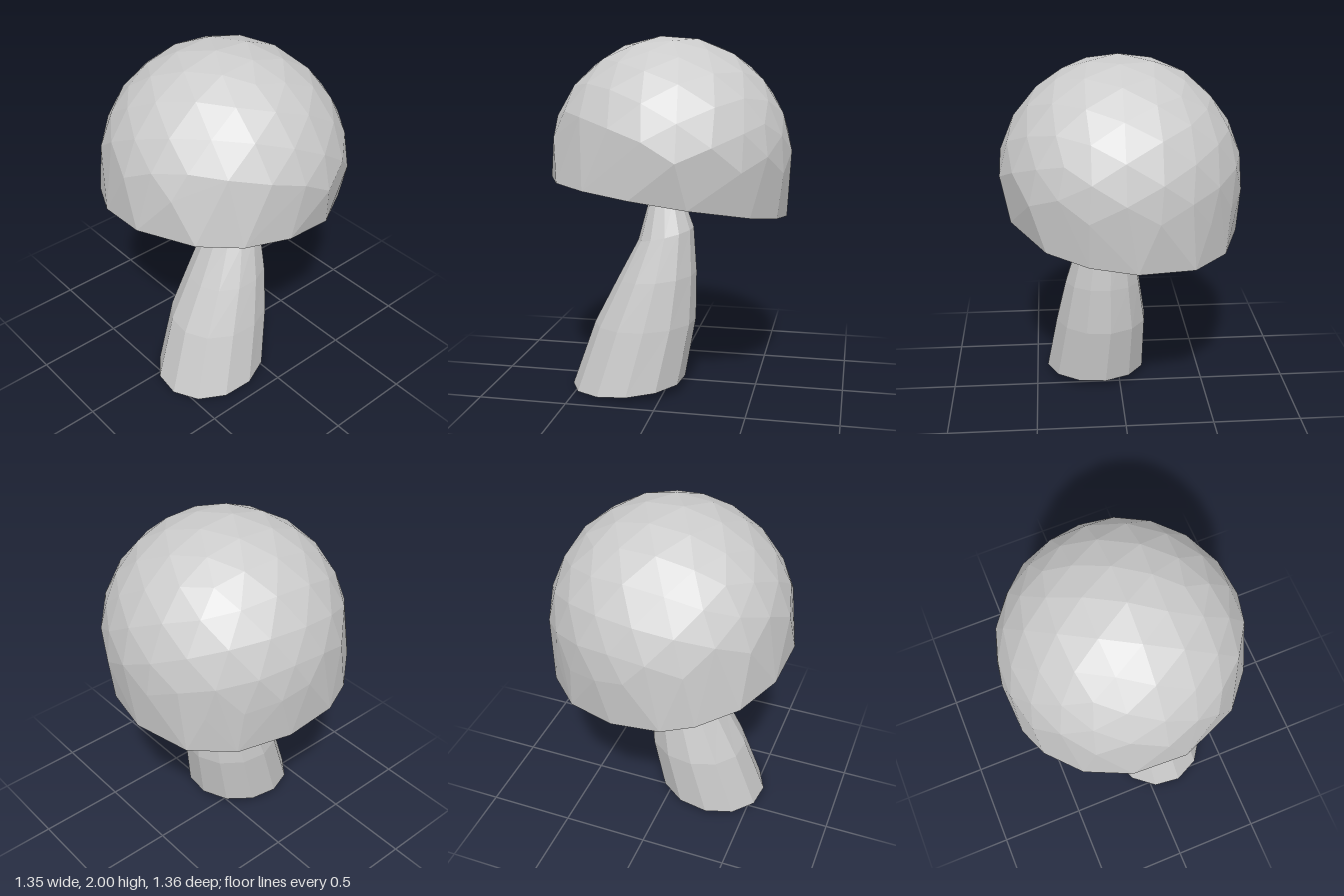
import * as THREE from 'three';
import { ConvexGeometry } from 'three/addons/geometries/ConvexGeometry.js';
import { mergeVertices } from 'three/addons/utils/BufferGeometryUtils.js';

const material = new THREE.MeshStandardMaterial({ color: 0xcccccc, flatShading: true });

// Height of the tilted plane that cuts off the underside of the cap
const undersideY = (x, z) => 1.1 + 0.105 * x + 0.145 * z;

// Faceted dome above a straight skirt, closed by the flat tilted underside
function buildCap() {
  const rim = [
    [-0.2, 0.66], [0.1, 0.68], [0.42, 0.55], [0.58, 0.36], [0.645, 0.1],
    [0.61, -0.2], [0.42, -0.5], [0.2, -0.62], [-0.05, -0.655], [-0.36, -0.57],
    [-0.55, -0.38], [-0.655, -0.1], [-0.665, 0.18], [-0.6, 0.35], [-0.44, 0.54],
  ];
  const points = rim.map(([x, z]) => new THREE.Vector3(x, undersideY(x, z), z));

  let ball = new THREE.IcosahedronGeometry(0.682, 3);
  ball.deleteAttribute('normal');
  ball.deleteAttribute('uv');
  ball = mergeVertices(ball, 1e-3);
  ball.rotateX(0.35).rotateZ(0.2).rotateY(0.5).translate(0, 1.32, 0);
  const pos = ball.attributes.position;
  for (let i = 0; i < pos.count; i++) {
    const p = new THREE.Vector3().fromBufferAttribute(pos, i);
    if (p.y > undersideY(p.x, p.z) + 0.22) points.push(p);
  }
  return new ConvexGeometry(points);
}

// Leaning, tapering stem lofted through oval rings
function buildStem() {
  const sides = 12;
  // y, centre x, centre z, radius x, radius z, tilt
  const rings = [
    [0.03, 0.137, 0.225, 0.303, 0.328, -0.09],
    [0.39, 0.105, 0.132, 0.272, 0.292, -0.05],
    [0.66, 0.097, 0.064, 0.222, 0.226, -0.1],
    [0.9, 0.085, 0.015, 0.165, 0.158, -0.25],
    [1.09, 0.072, 0.02, 0.108, 0.098, -0.2],
    [1.22, 0.07, 0.02, 0.085, 0.08, 0],
  ];
  const verts = [];
  const index = [];
  for (const [y, cx, cz, rx, rz, tilt] of rings) {
    for (let j = 0; j < sides; j++) {
      const a = ((j + 0.3) / sides) * Math.PI * 2;
      const dz = rz * Math.cos(a);
      verts.push(cx + rx * Math.sin(a), y + tilt * dz, cz + dz);
    }
  }
  const top = (rings.length - 1) * sides;
  for (let j = 0; j < sides; j++) {
    const k = (j + 1) % sides;
    for (let r = 0; r < top; r += sides) {
      index.push(r + j, r + k, r + sides + k, r + j, r + sides + k, r + sides + j);
    }
    // End faces as fans from the first corner
    if (j > 0 && j < sides - 1) index.push(0, k, j, top, top + j, top + k);
  }
  const geometry = new THREE.BufferGeometry();
  geometry.setAttribute('position', new THREE.Float32BufferAttribute(verts, 3));
  geometry.setIndex(index);
  const flat = geometry.toNonIndexed();
  flat.computeVertexNormals();
  return flat;
}

export function createModel() {
  const group = new THREE.Group();
  group.name = 'mushroom';
  const parts = { cap: buildCap(), stem: buildStem() };
  for (const [name, geometry] of Object.entries(parts)) {
    const mesh = new THREE.Mesh(geometry, material);
    mesh.name = name;
    group.add(mesh);
  }
  return group;
}
